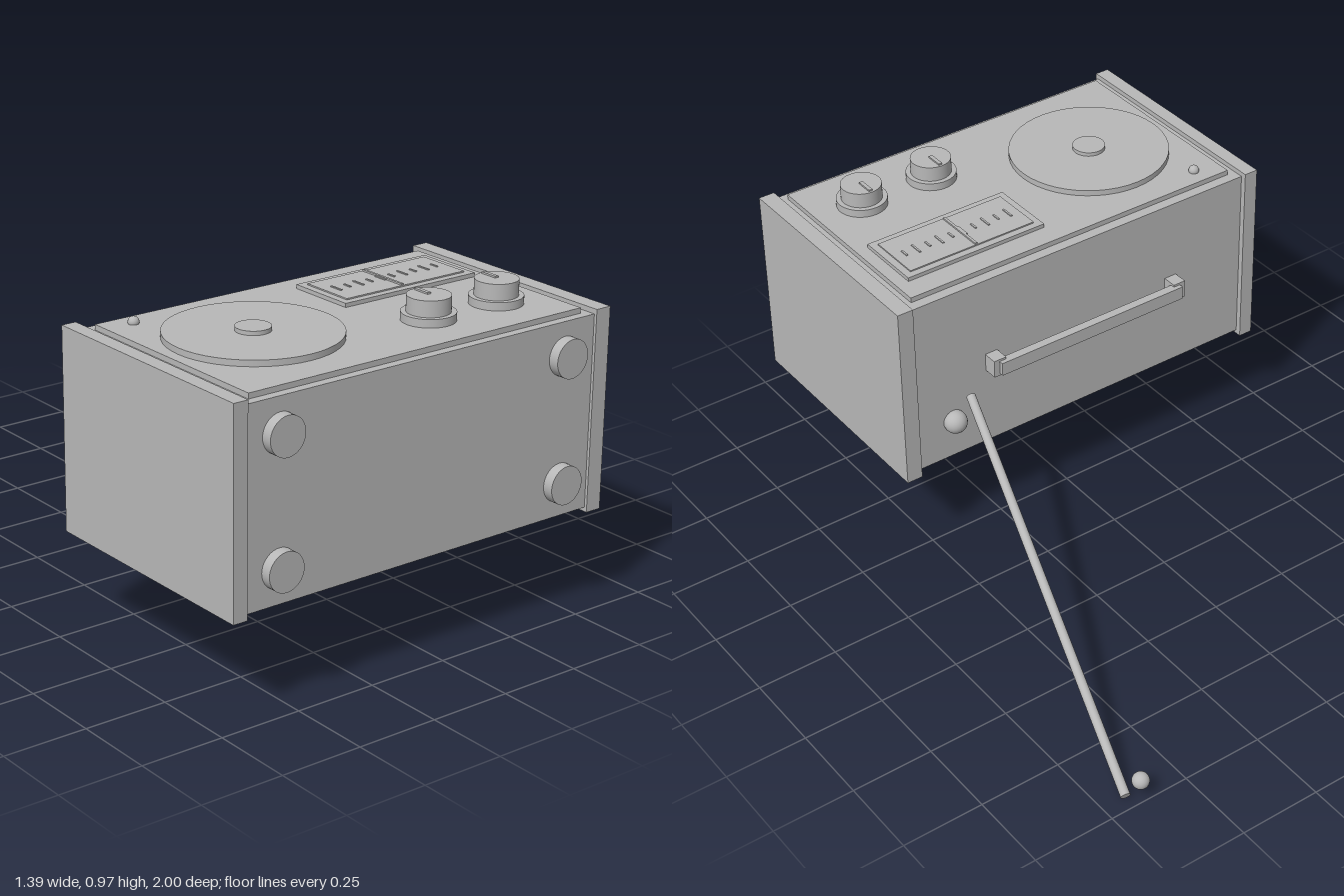
import * as THREE from 'three';

export function createModel() {
  const model = new THREE.Group();
  model.name = 'radio';
  const grey = new THREE.MeshStandardMaterial({ color: 0xb8b8b8 });
  grey.name = 'grey';

  const add = (name, geometry, x = 0, y = 0, z = 0) => {
    const mesh = new THREE.Mesh(geometry, grey);
    mesh.name = name;
    mesh.position.set(x, y, z);
    model.add(mesh);
    return mesh;
  };
  // Box given by its minimum and maximum on each axis
  const box = (name, x0, x1, y0, y1, z0, z1) =>
    add(name, new THREE.BoxGeometry(x1 - x0, y1 - y0, z1 - z0),
      (x0 + x1) / 2, (y0 + y1) / 2, (z0 + z1) / 2);
  // Upright disc from y0 to y1
  const disc = (name, r, x, y0, y1, z) =>
    add(name, new THREE.CylinderGeometry(r, r, y1 - y0, 48), x, (y0 + y1) / 2, z);
  const ball = (name, r, x, y, z) => add(name, new THREE.SphereGeometry(r, 24, 16), x, y, z);

  // Cabinet lying on its back, with the controls facing up
  box('cabinet', -0.652, 0.546, 0.306, 0.877, 0.231, 0.968);
  box('rightEndPanel', -0.697, -0.652, 0.293, 0.892, 0.213, 0.977);
  box('leftEndPanel', 0.546, 0.597, 0.293, 0.892, 0.213, 0.977);
  box('facePanel', -0.624, 0.52, 0.87, 0.893, 0.264, 0.941);

  // Speaker and power light
  disc('speaker', 0.246, -0.345, 0.89, 0.911, 0.597);
  disc('speakerCap', 0.05, -0.345, 0.91, 0.923, 0.597);
  ball('powerLight', 0.016, -0.537, 0.898, 0.32);

  // Tuning dial with ticks and needle
  box('dialFrame', 0.006, 0.48, 0.89, 0.905, 0.338, 0.555);
  box('dialGlass', 0.028, 0.458, 0.9, 0.909, 0.36, 0.533);
  for (let i = 0; i < 10; i++) {
    const x = 0.063 + i * 0.04;
    const half = i % 2 ? 0.014 : 0.022;
    box('dialTick', x - 0.003, x + 0.003, 0.908, 0.912, 0.445 - half, 0.445 + half);
  }
  box('dialNeedle', 0.226, 0.234, 0.908, 0.914, 0.362, 0.531);

  // Knobs
  for (const x of [0.12, 0.366]) {
    disc('knobSkirt', 0.077, x, 0.89, 0.917, 0.767);
    disc('knob', 0.062, x, 0.91, 0.964, 0.767);
    box('knobPointer', x - 0.006, x + 0.006, 0.962, 0.969, 0.712, 0.767);
  }

  // Feet
  for (const x of [-0.543, 0.44]) {
    for (const y of [0.407, 0.777]) {
      add('foot', new THREE.CylinderGeometry(0.057, 0.057, 0.04, 40), x, y, 0.98).rotation.x = Math.PI / 2;
    }
  }

  // Carrying handle on the back
  for (const x of [-0.383, 0.277]) box('handlePost', x - 0.021, x + 0.021, 0.563, 0.62, 0.185, 0.235);
  box('handleGrip', -0.385, 0.279, 0.57, 0.613, 0.171, 0.199);

  // Telescopic aerial
  const start = new THREE.Vector3(0.366, 0.51, 0.212);
  const end = new THREE.Vector3(0.679, 0.014, -0.965);
  const along = end.clone().sub(start);
  const rod = add('aerial', new THREE.CylinderGeometry(0.014, 0.014, along.length(), 20));
  rod.position.copy(start).add(end).multiplyScalar(0.5);
  rod.quaternion.setFromUnitVectors(new THREE.Vector3(0, 1, 0), along.normalize());
  ball('aerialPivot', 0.036, 0.418, 0.435, 0.22);
  ball('aerialTip', 0.025, 0.636, 0.056, -0.975);

  return model;
}
